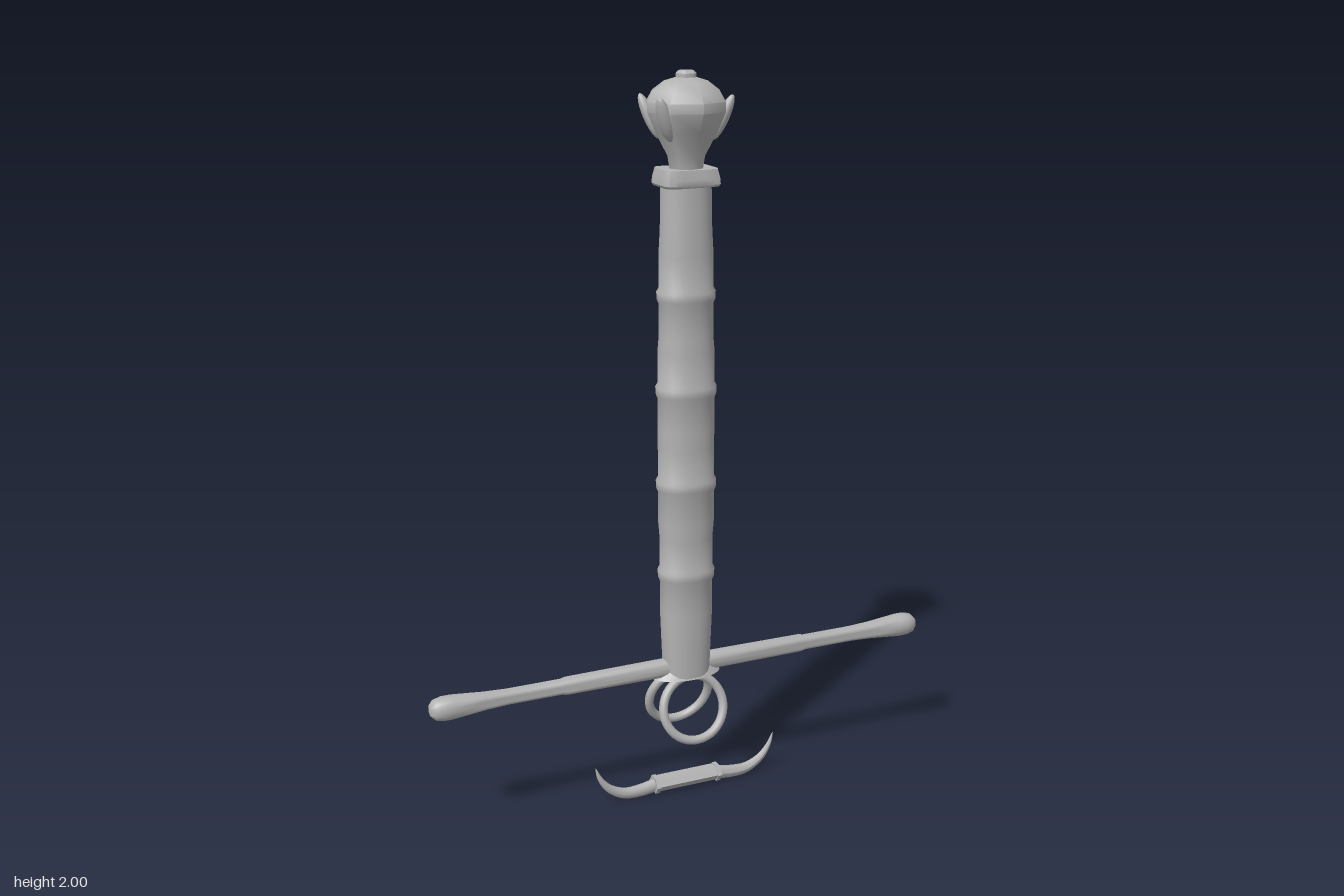
import * as THREE from 'three';
import { toCreasedNormals } from 'three/addons/utils/BufferGeometryUtils.js';

const steel = new THREE.MeshStandardMaterial({ color: 0xb3b3b3 });
steel.name = 'grey steel';

const lathe = (list, sides) => new THREE.LatheGeometry(list.map(([r, y]) => new THREE.Vector2(r, y)), sides);

// Lathe with rounded-rectangle sections: the higher the power, the squarer
function squaredLathe(list, sides, power, depth, crease) {
  const geo = lathe(list, sides);
  const pos = geo.attributes.position;
  for (let i = 0; i < pos.count; i++) {
    const x = pos.getX(i), z = pos.getZ(i), r = Math.hypot(x, z);
    if (r < 1e-6) continue;
    const k = 1 / Math.pow(Math.pow(Math.abs(x / r), power) + Math.pow(Math.abs(z / r), power), 1 / power);
    pos.setXYZ(i, x * k, pos.getY(i), z * k * depth);
  }
  return toCreasedNormals(geo, crease);
}

// Tube whose radius follows a rule along its length, flattened in z
function taperedTube(path, radiusAt, steps, sides, flatten) {
  const curve = new THREE.CatmullRomCurve3(path.map(([x, y]) => new THREE.Vector3(x, y, 0)));
  const geo = new THREE.TubeGeometry(curve, steps, 1, sides, false);
  const pos = geo.attributes.position;
  const v = new THREE.Vector3();
  for (let i = 0; i < pos.count; i++) {
    const t = Math.floor(i / (sides + 1)) / steps;
    const c = curve.getPointAt(t);
    v.fromBufferAttribute(pos, i).sub(c).multiplyScalar(radiusAt(t));
    pos.setXYZ(i, c.x + v.x, c.y + v.y, v.z * flatten);
  }
  geo.computeVertexNormals();
  return geo;
}

export function createModel() {
  const model = new THREE.Group();
  const add = (name, geo, x = 0, y = 0, z = 0) => {
    const mesh = new THREE.Mesh(geo, steel);
    mesh.name = name;
    mesh.position.set(x, y, z);
    model.add(mesh);
    return mesh;
  };

  // Flattened grip, swelling toward the middle, with four raised bands
  const gripRadius = (y) => 0.065 + 0.0115 * Math.sin(Math.PI * Math.min(1, Math.max(0, (y - 0.36) / 1.36)));
  const profile = [[0, 0.36], [gripRadius(0.36), 0.36]];
  for (const y of [0.66, 0.915, 1.175, 1.43]) {
    const r = gripRadius(y);
    profile.push([r, y - 0.11], [r, y - 0.024], [r + 0.005, y - 0.013],
      [r + 0.006, y + 0.008], [r, y + 0.018], [r, y + 0.1]);
  }
  profile.push([gripRadius(1.6), 1.6], [0.066, 1.72], [0, 1.72]);
  add('grip', squaredLathe(profile, 32, 2.3, 0.8, 0.8));

  // Rounded rectangular collar, narrowing at the top
  const collar = [[0, 1.712], [0.075, 1.712], [0.079, 1.718], [0.078, 1.732], [0.072, 1.757], [0, 1.757]];
  add('collar', squaredLathe(collar, 32, 7, 0.79, 0.6));

  // Eight-sided pommel
  const pommel = [[0, 1.75], [0.045, 1.75], [0.052, 1.79], [0.085, 1.85], [0.107, 1.9],
    [0.107, 1.925], [0.092, 1.95], [0.06, 1.973], [0.024, 1.984], [0, 1.984]];
  add('pommel', toCreasedNormals(lathe(pommel, 8), 0.85));
  // Raised leaves on the four facets beside the width axis
  for (const angle of [32, 148, 212, 328]) {
    const leaf = new THREE.SphereGeometry(1, 16, 12).scale(0.016, 0.062, 0.02)
      .rotateZ(-0.42).translate(0.094, 1.885, 0).rotateY(THREE.MathUtils.degToRad(angle));
    add('pommelLeaf', leaf);
  }
  const button = [[0, 1.975], [0.026, 1.975], [0.026, 1.993], [0.02, 2], [0, 2]];
  add('pommelButton', toCreasedNormals(lathe(button, 16), 0.6));

  // Straight crossguard with swollen ends
  const arm = [[0, -0.737], [0.015, -0.734], [0.027, -0.722], [0.032, -0.7], [0.032, -0.675],
    [0.024, -0.585], [0.021, -0.52], [0.021, -0.37], [0.024, -0.355], [0.026, 0]];
  const guardProfile = [...arm, ...arm.slice(0, -1).reverse().map(([r, y]) => [r, -y])];
  add('crossguard', squaredLathe(guardProfile, 16, 2.4, 1, 0.9).rotateZ(-Math.PI / 2), 0, 0.383, 0);

  // Foot plate under the guard
  const foot = new THREE.CylinderGeometry(0.062, 0.1, 0.034, 24);
  add('footPlate', toCreasedNormals(foot, 0.6), 0, 0.373, 0).scale.z = 0.54;

  // Two side rings, splayed to the front and back
  for (const side of [1, -1]) {
    const ring = new THREE.TorusGeometry(0.09, 0.0125, 12, 40).translate(0, -0.09, 0);
    add(side > 0 ? 'frontRing' : 'backRing', ring, 0, 0.357, side * 0.024).rotation.x = -side * 0.3;
  }

  // Small lower guard: six-sided bar between two upturned horns
  const bar = new THREE.CylinderGeometry(0.028, 0.028, 0.19, 6).rotateZ(Math.PI / 2).scale(1, 0.78, 1);
  add('lowerBar', toCreasedNormals(bar, 0.3), 0, 0.032, 0);
  const hornPath = [[0.085, 0.031], [0.14, 0.022], [0.19, 0.024], [0.235, 0.048], [0.262, 0.084], [0.274, 0.118]];
  const hornRadius = (t) => 0.0008 + 0.0215 * Math.pow(1 - t, 0.8) * (0.88 + 0.5 * t);
  for (const side of [1, -1]) {
    const end = new THREE.CylinderGeometry(0.03, 0.03, 0.012, 6).rotateZ(Math.PI / 2).scale(1, 0.86, 1);
    add('lowerBarCollar', toCreasedNormals(end, 0.3), side * 0.094, 0.031, 0);
    const horn = add(side > 0 ? 'leftHorn' : 'rightHorn', taperedTube(hornPath, hornRadius, 24, 10, 0.8));
    if (side < 0) horn.rotation.y = Math.PI;
  }

  return model;
}
